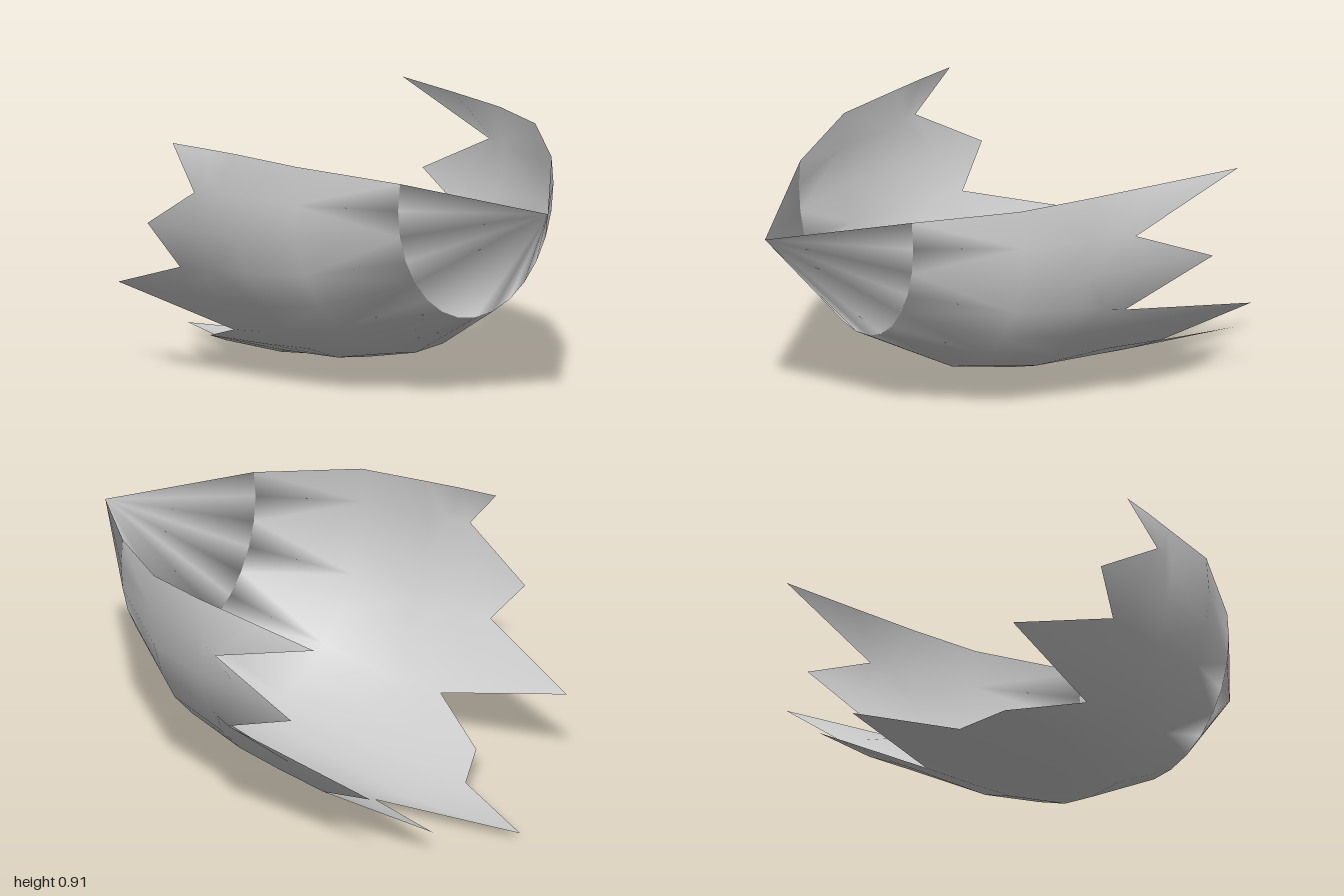
import * as THREE from 'three';

// Broken half eggshell: meridians run from the pointed tip (+z) back to a jagged edge.
const AXIS_Y = 0.75;          // height of the egg's long axis
const STEP = Math.PI / 14;    // angle between meridians
const RINGS = [               // z, half width, half height
  [0.6, 0.378, 0.45],
  [0.265, 0.598, 0.635],
  [0, 0.657, 0.692],
];
const BACK_R = 0.722;         // radius at the broken edge
// z of the broken edge for each meridian, from the +x rim under the keel to the -x rim
const EDGE_Z = [-0.61, -0.15, -0.5, -0.15, -0.76, -0.44, -0.85, -0.44, -1,
  -0.6, -0.52, -0.23, -0.74, -0.3, -0.42, -0.14, -0.28];

function shellGeometry() {
  const positions = [0, AXIS_Y, 1]; // shared tip
  const index = [];
  const n = EDGE_Z.length;
  const keel = (n - 1) / 2;
  const rows = RINGS.length + 2;

  for (let i = 0; i < rows; i++) {
    for (let j = 0; j < n; j++) {
      const angle = (1 - j) * STEP;
      let ring = RINGS[i];
      if (i === rows - 1) ring = [EDGE_Z[j], BACK_R, BACK_R];
      else if (i === rows - 2) {
        // halfway to the broken edge; the keel sags slightly
        ring = [EDGE_Z[j] * 0.48, 0.69, j === keel ? AXIS_Y : 0.71];
      }
      const [z, rx, ry] = ring;
      positions.push(rx * Math.cos(angle), AXIS_Y + ry * Math.sin(angle), z);
    }
  }

  const at = (i, j) => 1 + i * n + j;
  for (let j = 0; j < n - 1; j++) {
    index.push(0, at(0, j + 1), at(0, j)); // fan at the tip
    for (let i = 0; i < rows - 1; i++) {
      const a = at(i, j), b = at(i, j + 1), c = at(i + 1, j), d = at(i + 1, j + 1);
      // diagonal leaves from the shorter meridian's edge
      if (EDGE_Z[j] < EDGE_Z[j + 1]) index.push(a, b, d, a, d, c);
      else index.push(a, b, c, b, d, c);
    }
  }

  const geometry = new THREE.BufferGeometry();
  geometry.setAttribute('position', new THREE.Float32BufferAttribute(positions, 3));
  // the tip fan faces outward like the rest of the shell
  for (let k = 0; k < index.length; k += 3) {
    if (index[k] === 0) [index[k + 1], index[k + 2]] = [index[k + 2], index[k + 1]];
  }
  geometry.setIndex(index);
  geometry.computeVertexNormals();
  return geometry;
}

export function createModel() {
  const group = new THREE.Group();
  group.name = 'brokenEggshell';
  const material = new THREE.MeshStandardMaterial({ color: 0xcccccc, side: THREE.DoubleSide });
  const shell = new THREE.Mesh(shellGeometry(), material);
  shell.name = 'shell';
  group.add(shell);
  return group;
}
